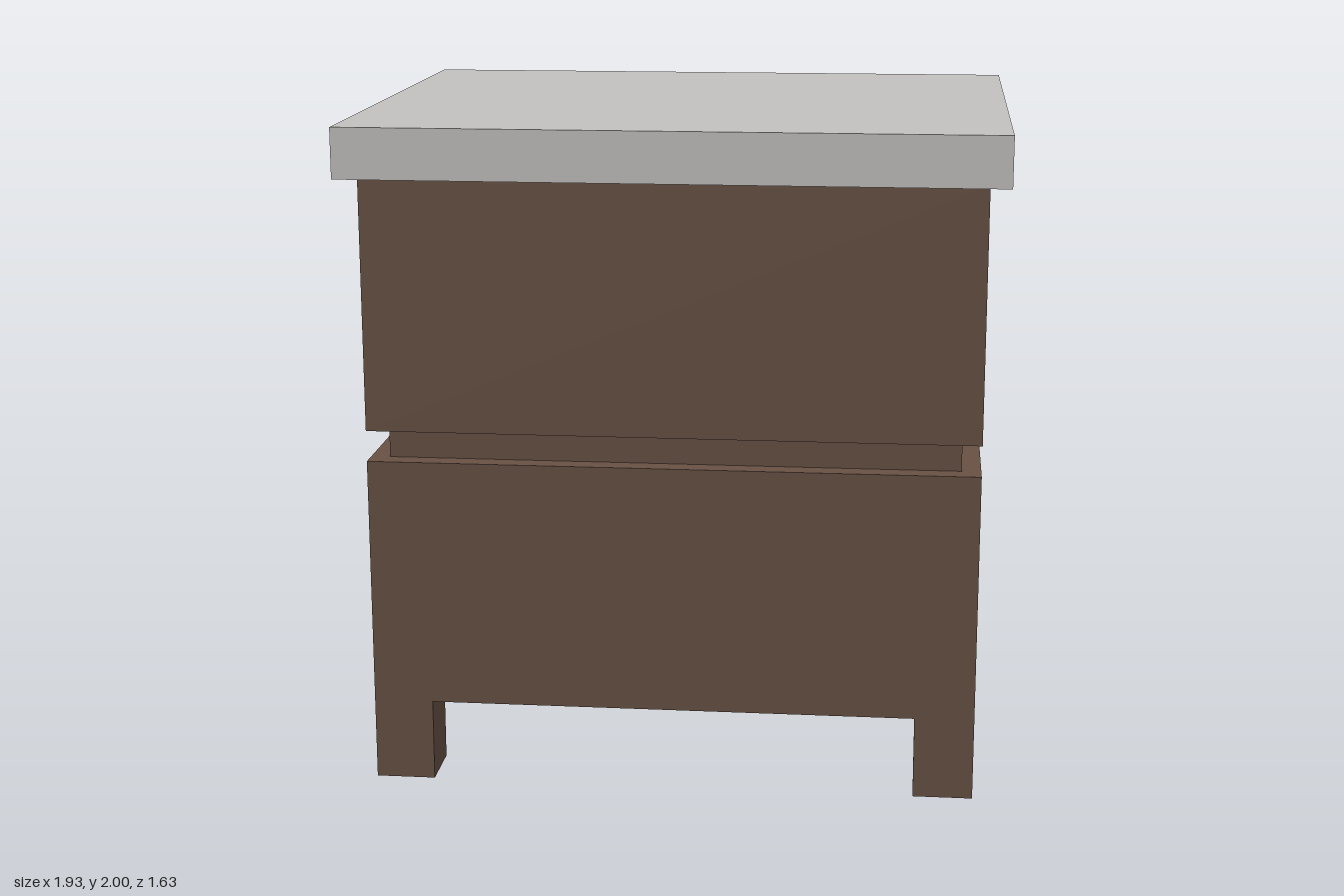
import * as THREE from 'three';

export function createModel() {
  const model = new THREE.Group();
  model.name = 'nightstand';

  const wood = new THREE.MeshStandardMaterial({ color: 0x675143 });
  wood.name = 'brown wood';
  const grey = new THREE.MeshStandardMaterial({ color: 0xc3c1bf });
  grey.name = 'light grey';

  // Box of the given width and depth, spanning y0..y1, centred on (x, z)
  function addBox(name, material, width, depth, y0, y1, x = 0, z = 0) {
    const mesh = new THREE.Mesh(new THREE.BoxGeometry(width, y1 - y0, depth), material);
    mesh.name = name;
    mesh.position.set(x, (y0 + y1) / 2, z);
    model.add(mesh);
  }

  const width = 1.814, depth = 1.512;

  // Two drawer bodies with a recessed band between them, and the overhanging top
  addBox('lowerDrawer', wood, width, depth, 0.248, 1.0);
  addBox('recessedBand', wood, 1.7, 1.392, 1.0, 1.093);
  addBox('upperDrawer', wood, width, depth, 1.093, 1.85);
  addBox('tabletop', grey, 1.935, 1.634, 1.85, 2.0);

  // Four square legs flush with the corners
  const leg = 0.178;
  for (const sx of [-1, 1]) {
    for (const sz of [-1, 1]) {
      const name = (sz > 0 ? 'front' : 'back') + (sx > 0 ? 'Left' : 'Right') + 'Leg';
      addBox(name, wood, leg, leg, 0, 0.248, sx * (width - leg) / 2, sz * (depth - leg) / 2);
    }
  }

  // Bar handles on the back face
  const handleDepth = 0.06;
  for (const [name, y] of [['lowerHandle', 0.882], ['upperHandle', 1.728]]) {
    addBox(name, grey, 0.72, handleDepth, y - 0.029, y + 0.029, 0, -(depth + handleDepth) / 2);
  }

  return model;
}
